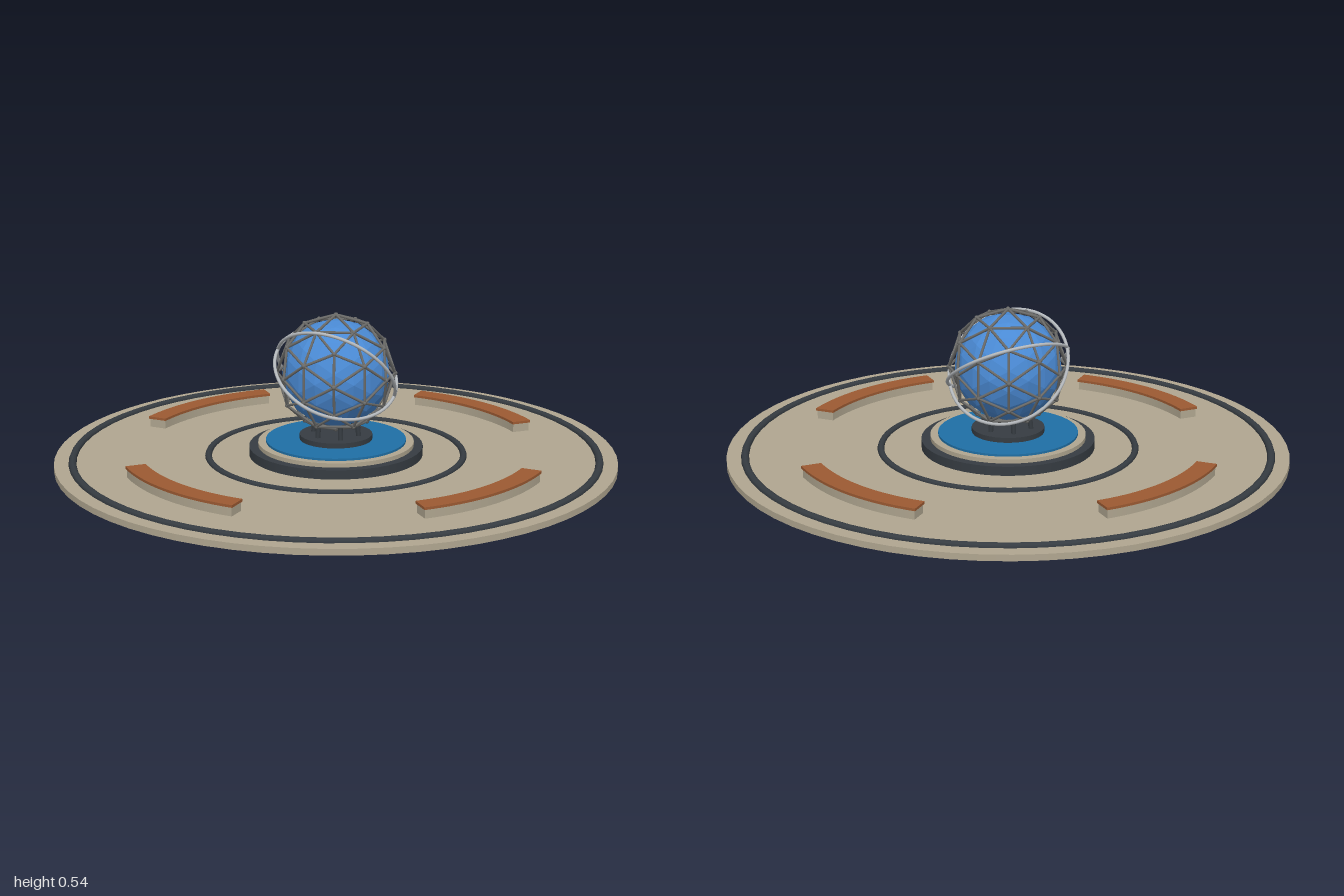
import * as THREE from 'three';

const mat = (name, color, extra = {}) =>
  Object.assign(new THREE.MeshStandardMaterial({ color, ...extra }), { name });

export function createModel() {
  const model = new THREE.Group();
  model.name = 'globePlaza';

  const stone = mat('stone', 0xb0a690);
  const darkStone = mat('darkStone', 0x363c42);
  const water = mat('water', 0x1f6fa5);
  const wood = mat('wood', 0x9c5a32);
  const glass = mat('blueGlobe', 0x4a8ad4, { flatShading: true });
  const steel = mat('steel', 0x6c6c6a);
  const silver = mat('silver', 0xb4b8bc);

  const add = (name, geometry, material, parent = model) => {
    const mesh = new THREE.Mesh(geometry, material);
    mesh.name = name;
    parent.add(mesh);
    return mesh;
  };
  // Upright drum between two heights
  const drum = (name, r, y0, y1, material, rTop = r, sides = 48) => {
    const mesh = add(name, new THREE.CylinderGeometry(rTop, r, y1 - y0, sides), material);
    mesh.position.y = (y0 + y1) / 2;
    return mesh;
  };

  // Plaza floor with two raised dark rings
  drum('plazaFloor', 1, 0, 0.022, stone, 1, 64);
  for (const [name, r, tube] of [['outerRing', 0.935, 0.014], ['innerRing', 0.455, 0.012]]) {
    const ring = add(name, new THREE.TorusGeometry(r, tube, 8, 64), darkStone);
    ring.rotation.x = Math.PI / 2;
    ring.position.y = 0.022;
  }

  // Stepped fountain basin and pedestal
  drum('basinBase', 0.31, 0.022, 0.055, darkStone);
  drum('basinRim', 0.278, 0.055, 0.07, stone);
  drum('waterDisc', 0.25, 0.07, 0.078, water);
  drum('pedestal', 0.13, 0.078, 0.096, darkStone, 0.13, 32);

  // Four curved benches: stone base and wooden seat
  const arc = (r0, r1, a0, a1, height) => {
    const shape = new THREE.Shape();
    shape.absarc(0, 0, r1, a0, a1, false);
    shape.absarc(0, 0, r0, a1, a0, true);
    shape.closePath();
    return new THREE.ExtrudeGeometry(shape, { depth: height, bevelEnabled: false, curveSegments: 16 })
      .rotateX(-Math.PI / 2);
  };
  const a0 = THREE.MathUtils.degToRad(23.5);
  const a1 = THREE.MathUtils.degToRad(66.5);
  for (let i = 0; i < 4; i++) {
    const bench = new THREE.Group();
    bench.name = 'bench' + (i + 1);
    add('benchBase', arc(0.708, 0.772, a0 + 0.005, a1 - 0.005, 0.031), stone, bench).position.y = 0.022;
    add('benchSeat', arc(0.704, 0.776, a0, a1, 0.009), wood, bench).position.y = 0.053;
    bench.rotation.y = i * Math.PI / 2;
    model.add(bench);
  }

  // Globe
  const globe = new THREE.Group();
  globe.name = 'globe';
  globe.position.y = 0.32;
  model.add(globe);
  add('globeCore', new THREE.IcosahedronGeometry(0.192, 2), glass, globe);

  // Geodesic lattice: one strut per unique edge, one node per vertex
  const up = new THREE.Vector3(0, 1, 0);
  const strut = (name, a, b, r, parent, material) => {
    const dir = b.clone().sub(a);
    const mesh = add(name, new THREE.CylinderGeometry(r, r, dir.length(), 6), material, parent);
    mesh.position.copy(a).add(b).multiplyScalar(0.5);
    mesh.quaternion.setFromUnitVectors(up, dir.normalize());
  };
  const lattice = new THREE.Group();
  lattice.name = 'lattice';
  globe.add(lattice);
  const pos = new THREE.IcosahedronGeometry(0.21, 1).attributes.position;
  const key = v => v.toArray().map(n => Math.round(n * 1000) + 0).join();
  const nodes = new Map();
  const edges = new Set();
  for (let i = 0; i < pos.count; i += 3) {
    const tri = [0, 1, 2].map(k => new THREE.Vector3().fromBufferAttribute(pos, i + k));
    tri.forEach((a, k) => {
      const b = tri[(k + 1) % 3];
      nodes.set(key(a), a);
      const id = [key(a), key(b)].sort().join('|');
      if (edges.has(id)) return;
      edges.add(id);
      strut('latticeStrut', a, b, 0.005, lattice, steel);
    });
  }
  for (const p of nodes.values()) {
    add('latticeNode', new THREE.SphereGeometry(0.008, 8, 6), steel, lattice).position.copy(p);
  }

  // Two tilted orbit rings, given by their axes
  const forward = new THREE.Vector3(0, 0, 1);
  [[0.25, 0.83, 0.5], [0.33, 0.65, -0.72]].forEach((axis, i) => {
    const ring = add('orbitRing' + (i + 1), new THREE.TorusGeometry(0.222, 0.006, 8, 64), silver, globe);
    ring.quaternion.setFromUnitVectors(forward, new THREE.Vector3(...axis).normalize());
  });

  // Short legs from the pedestal to the globe
  for (let i = 0; i < 6; i++) {
    const a = i * Math.PI / 3 + 0.3;
    const at = (r, y) => new THREE.Vector3(r * Math.cos(a), y, r * Math.sin(a));
    strut('globeLeg', at(0.085, 0.094), at(0.08, 0.145), 0.01, model, darkStone);
  }

  return model;
}
